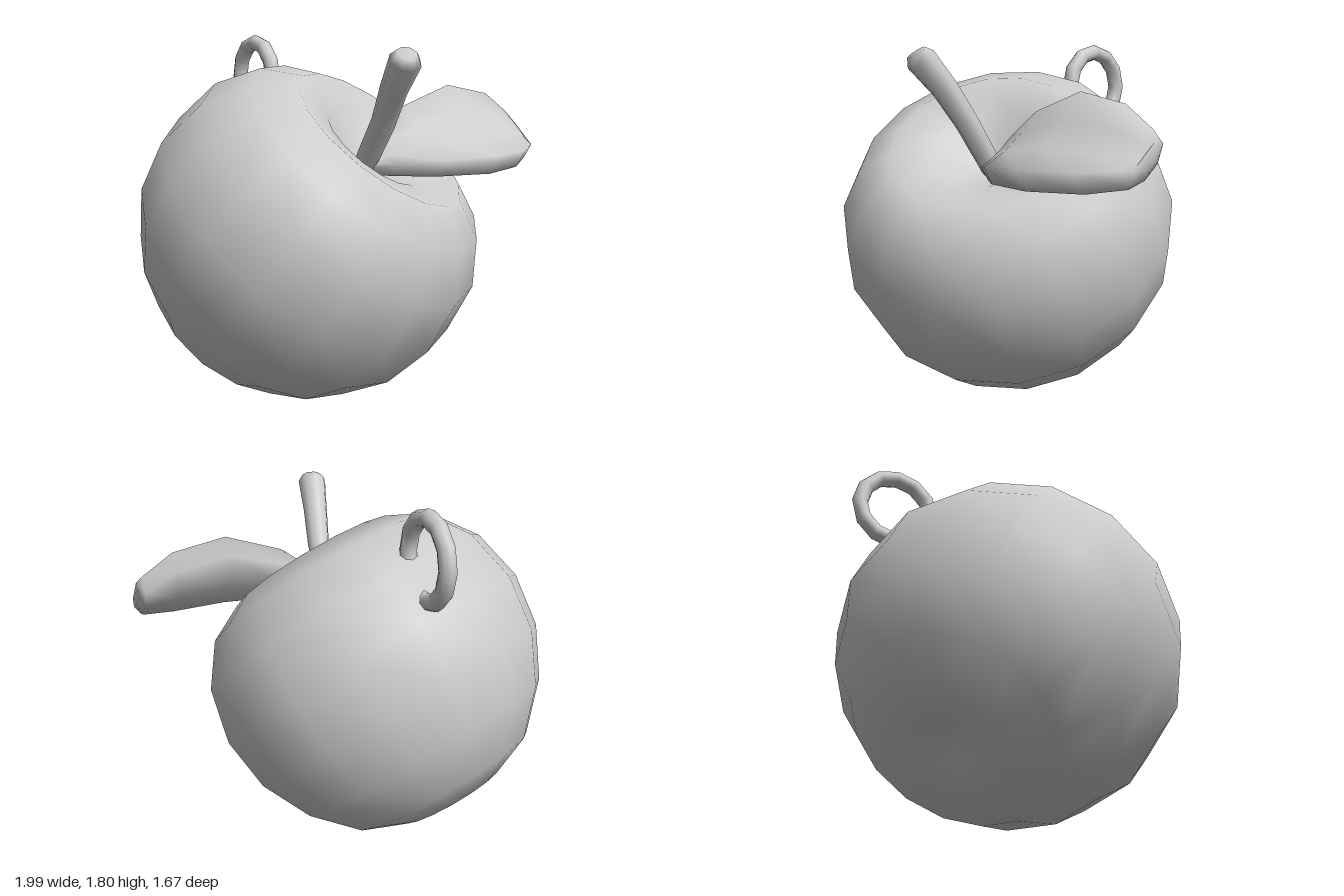
import * as THREE from 'three';

// Skin a list of closed cross-sections (arrays of Vector3) and cap both ends
function loft(sections) {
  const n = sections[0].length, pos = [], index = [];
  sections.forEach(s => s.forEach(p => pos.push(p.x, p.y, p.z)));
  for (let i = 0; i < sections.length - 1; i++) {
    for (let j = 0; j < n; j++) {
      const a = i * n + j, b = i * n + (j + 1) % n, c = a + n, d = b + n;
      index.push(a, c, b, b, c, d);
    }
  }
  const last = (sections.length - 1) * n;
  for (let j = 1; j < n - 1; j++) {
    index.push(0, j, j + 1, last, last + j + 1, last + j);
  }
  const g = new THREE.BufferGeometry();
  g.setAttribute('position', new THREE.Float32BufferAttribute(pos, 3));
  g.setIndex(index);
  g.computeVertexNormals();
  return g;
}

// Tapered round-section tube through [x, y, z, radius] stations
function stemGeometry(stations, sides) {
  const centres = stations.map(s => new THREE.Vector3(s[0], s[1], s[2]));
  return loft(stations.map((s, i) => {
    const d = centres[Math.min(i + 1, centres.length - 1)].clone()
      .sub(centres[Math.max(i - 1, 0)]).normalize();
    const v = d.clone().cross(new THREE.Vector3(1, 0, 0)).normalize();
    const u = v.clone().cross(d);
    return Array.from({ length: sides }, (_, k) => {
      const t = (k / sides) * Math.PI * 2;
      return centres[i].clone()
        .addScaledVector(u, Math.cos(t) * s[3])
        .addScaledVector(v, -Math.sin(t) * s[3]);
    });
  }));
}

// Thick leaf, nearly flat on top and bulging below:
// each station is [x, frontY, frontZ, backY, backZ, bulge, halfThickness]
function leafGeometry(stations) {
  return loft(stations.map(([x, fy, fz, by, bz, bulge, h]) => {
    const front = new THREE.Vector3(x, fy, fz), back = new THREE.Vector3(x, by, bz);
    const normal = new THREE.Vector3(0, fz - bz, by - fy).normalize();
    const at = (t, lift) => front.clone().lerp(back, t).addScaledVector(normal, lift);
    return [
      at(0, h), at(0.33, h - bulge * 0.3), at(0.67, h - bulge * 0.3), at(1, h),
      at(1.04, -h), at(0.75, -h - bulge), at(0.35, -h - bulge), at(-0.03, -h),
    ];
  }));
}

export function createModel() {
  const model = new THREE.Group();
  model.name = 'appleOrnament';
  const grey = new THREE.MeshStandardMaterial({ color: 0xcccccc });
  grey.name = 'plain grey';

  const add = (name, geometry) => {
    const mesh = new THREE.Mesh(geometry, grey);
    mesh.name = name;
    model.add(mesh);
    return mesh;
  };

  // Apple body with a wide top hollow and shallow base, leaning forward
  const profile = [
    [0, -0.71], [0.14, -0.725], [0.28, -0.76], [0.5, -0.665], [0.69, -0.465],
    [0.815, -0.22], [0.855, 0.05], [0.8, 0.32], [0.66, 0.525], [0.47, 0.63],
    [0.27, 0.575], [0.12, 0.47], [0, 0.42],
  ].map(([r, h]) => new THREE.Vector2(r, h));
  const body = add('appleBody', new THREE.LatheGeometry(profile, 16));
  body.position.set(-0.15, 0.83, 0);
  body.quaternion.setFromUnitVectors(
    new THREE.Vector3(0, 1, 0), new THREE.Vector3(0.33, 0.78, 0.53).normalize());

  // Curved stem, thicker at its tip
  add('stem', stemGeometry([
    [0, 1.12, 0.22, 0.045],
    [0.01, 1.24, 0.3, 0.055],
    [0.01, 1.4, 0.41, 0.058],
    [-0.015, 1.56, 0.52, 0.064],
    [-0.04, 1.69, 0.635, 0.074],
    [-0.045, 1.72, 0.655, 0.05],
  ], 8));

  // Leaf growing sideways from the stem base
  add('leaf', leafGeometry([
    [0.01, 1.16, 0.27, 1.2, 0.22, 0.005, 0.02],
    [0.1, 1.17, 0.38, 1.3, 0.2, 0.03, 0.035],
    [0.28, 1.18, 0.51, 1.42, 0.19, 0.07, 0.045],
    [0.56, 1.185, 0.57, 1.505, 0.18, 0.1, 0.055],
    [0.82, 1.185, 0.49, 1.455, 0.18, 0.08, 0.055],
    [0.97, 1.2, 0.39, 1.36, 0.19, 0.04, 0.045],
    [1.0, 1.22, 0.37, 1.35, 0.21, 0.02, 0.02],
  ]));

  // Hanging ring at the back
  const ring = add('hangingRing', new THREE.TorusGeometry(0.185, 0.041, 8, 12));
  ring.position.set(-0.11, 1.572, -0.595);
  ring.rotation.y = Math.PI / 2;

  return model;
}
